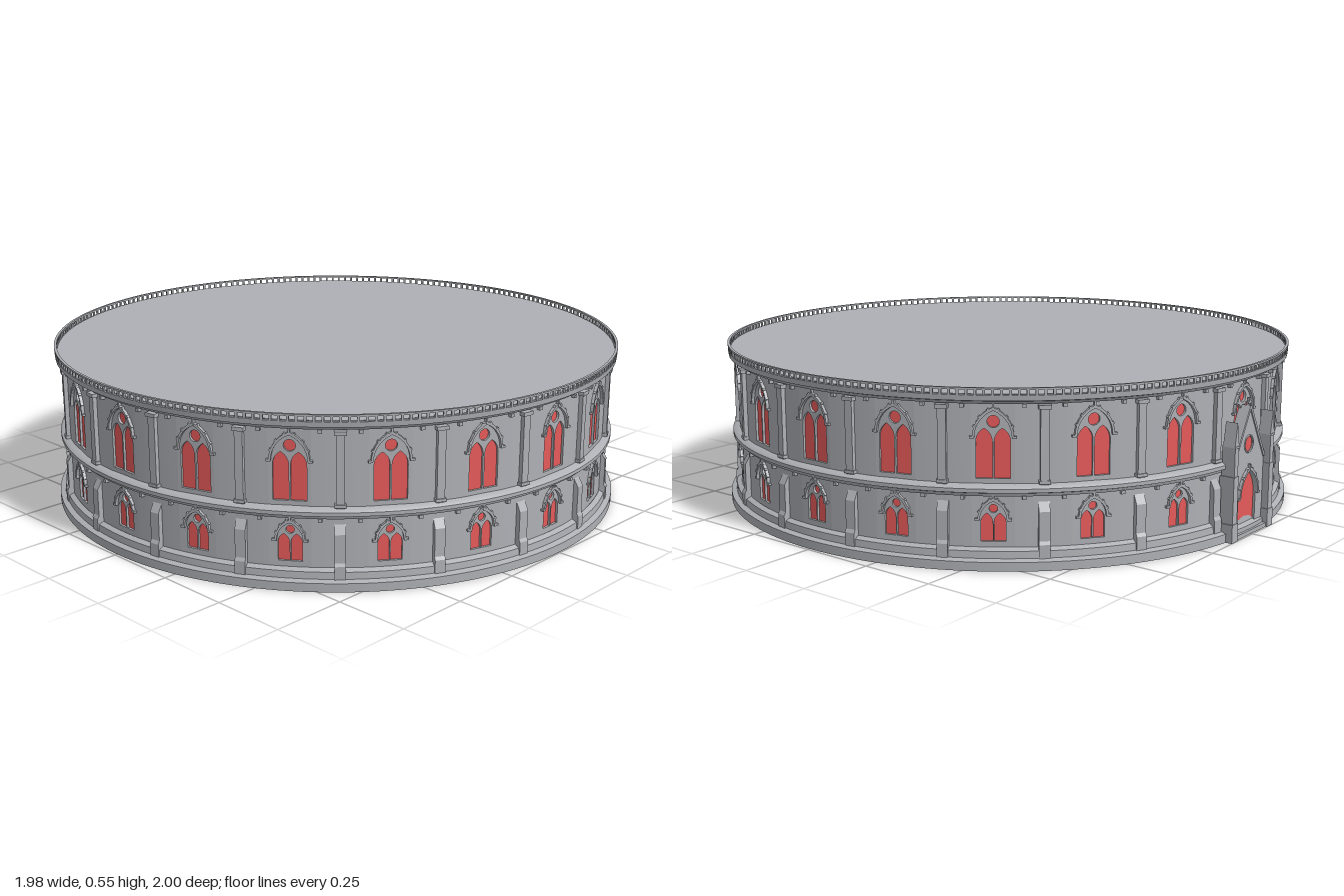
import * as THREE from 'three';
import { toCreasedNormals, mergeGeometries } from 'three/addons/utils/BufferGeometryUtils.js';

const BAYS = 20, STEP = (Math.PI * 2) / BAYS;
const WALL = 0.955, INNER = 0.937, PANEL = 0.064; // wall radii, half width of a window panel

const mat = (name, color) => {
  const m = new THREE.MeshStandardMaterial({ color, side: THREE.DoubleSide });
  m.name = name;
  return m;
};
const stone = mat('stone', 0xaeb0b5);
const glass = mat('redGlass', 0xe65a5a);

function add(parent, name, geometry, material = stone) {
  const m = new THREE.Mesh(geometry, material);
  m.name = name;
  parent.add(m);
  return m;
}
const box = (w, h, d, x, y, z, roll = 0) =>
  new THREE.BoxGeometry(w, h, d).rotateZ(roll).translate(x, y, z);
const merge = (list) => mergeGeometries(list.map((g) => (g.index ? g.toNonIndexed() : g)));
const vectors = (list) => list.map(([x, y]) => new THREE.Vector2(x, y));

// Closed ring from an [r, y] profile listed counter-clockwise
function ring(profile, segments = 160, start = 0, length = Math.PI * 2) {
  const pts = vectors([...profile, profile[0]]);
  return toCreasedNormals(new THREE.LatheGeometry(pts, segments, start, length), 0.5);
}

// Pointed arch curve, from the right springing over the apex to the left
function arch(hw, spring, rise, cx = 0, n = 7) {
  const c = (rise * rise - hw * hw) / (2 * hw), r = hw + c, end = Math.atan2(rise, c);
  const right = [];
  for (let i = 0; i <= n; i++) {
    const a = (end * i) / n;
    right.push([r * Math.cos(a) - c, spring + r * Math.sin(a)]);
  }
  const left = right.slice(0, -1).reverse().map(([x, y]) => [-x, y]);
  return vectors([...right, ...left].map(([x, y]) => [x + cx, y]));
}
const opening = (hw, y0, spring, rise, cx = 0) =>
  [new THREE.Vector2(cx - hw, y0), new THREE.Vector2(cx + hw, y0), ...arch(hw, spring, rise, cx)];
const circle = (r, y) => new THREE.Path().absarc(0, y, r, 0, Math.PI * 2).getPoints(8);

function plate(points, holes, depth, z) {
  const s = new THREE.Shape(points);
  s.holes = holes.map((h) => new THREE.Path(h));
  return new THREE.ExtrudeGeometry(s, { depth, bevelEnabled: false }).translate(0, 0, z);
}

const UPPER = { hw: 0.055, y0: 0.272, spring: 0.4, rise: 0.08 };
const LOWER = { hw: 0.04, y0: 0.079, spring: 0.15, rise: 0.056 };
const DOOR = { hw: 0.055, y0: 0.025, spring: 0.125, rise: 0.085 };
const hole = (o) => opening(o.hw, o.y0, o.spring, o.rise);

// Red pane and hood mould with label stops and crockets; z is the face it sits in
function buildOpening(parent, name, o, z) {
  const { hw, spring, rise } = o;
  const g = new THREE.Group();
  g.name = name;
  parent.add(g);
  add(g, 'pane', plate(hole(o), [], 0.004, z - 0.012), glass);

  const outer = arch(hw + 0.007, spring, rise + 0.01);
  const parts = [
    plate([...outer, ...arch(hw, spring, rise).reverse()], [], 0.014, z - 0.004),
    box(0.006, 0.018, 0.01, 0, spring + rise + 0.011, z + 0.006),
  ];
  for (const s of [-1, 1]) {
    parts.push(box(0.014, 0.007, 0.014, s * (hw + 0.008), spring, z + 0.003));
    for (const i of [2, 4, 6]) {
      const p = outer[i];
      parts.push(box(0.007, 0.007, 0.009, s * p.x, p.y, z + 0.006, s * 0.6));
    }
  }
  add(g, 'hoodMould', merge(parts));
  return g;
}

// Opening filled with two lights below a round eye
function buildWindow(parent, name, o, z) {
  const { hw, y0, spring, rise } = o;
  const g = buildOpening(parent, name, o, z);
  const lights = [-1, 1].map((s) =>
    opening(hw * 0.44, y0 + 0.002, spring - rise * 0.2, rise * 0.52, s * hw * 0.49));
  const eye = circle(rise * 0.23, spring + rise * 0.57);
  add(g, 'tracery', plate(hole(o), [...lights, eye], 0.008, z - 0.008));
}

// Window panel plus the curved wall reaching to the next bay
function buildWall(parent, holes) {
  const a = Math.asin(PANEL / WALL), z = WALL * Math.cos(a);
  const p = vectors([[-PANEL, 0.02], [PANEL, 0.02], [PANEL, 0.52], [-PANEL, 0.52]]);
  add(parent, 'windowPanel', plate(p, holes, z - INNER, INNER));
  const side = ring([[INNER, 0.02], [WALL, 0.02], [WALL, 0.52], [INNER, 0.52]], 6, a, STEP - 2 * a);
  add(parent, 'curvedWall', side);
  return z;
}

// Pier between bays: sloped buttress below, shaft and cap above
function buildPier(parent) {
  const pier = new THREE.Group();
  pier.name = 'pier';
  pier.rotation.y = STEP / 2;
  parent.add(pier);
  const profile = [[0, 0.03], [0.026, 0.03], [0.026, 0.075], [0.02, 0.085], [0.02, 0.175], [0, 0.21]];
  const butt = plate(vectors(profile), [], 0.034, 0);
  butt.rotateY(-Math.PI / 2).translate(0.017, 0, WALL - 0.004);
  add(pier, 'buttress', butt);
  add(pier, 'shaft', box(0.026, 0.235, 0.02, 0, 0.375, WALL + 0.004));
  add(pier, 'capAndBase', merge([
    box(0.038, 0.012, 0.026, 0, 0.491, WALL + 0.006),
    box(0.034, 0.01, 0.025, 0, 0.265, WALL + 0.005),
  ]));
}

// Gabled doorway between two buttresses with gabled tops
function buildPortal(parent) {
  const g = new THREE.Group();
  g.name = 'portal';
  parent.add(g);
  const z = 0.98, foot = 0.235, apex = 0.415, w = 0.1;
  const outline = vectors([[-w, 0], [w, 0], [w, foot], [0, apex], [-w, foot]]);
  add(g, 'gableWall', plate(outline, [hole(DOOR), circle(0.026, 0.295)], z - 0.945, 0.945));
  buildOpening(g, 'door', DOOR, z);
  add(g, 'roseGlass', new THREE.CircleGeometry(0.028, 16).translate(0, 0.295, z - 0.004), glass);

  const mouldings = [new THREE.TorusGeometry(0.027, 0.003, 6, 20).translate(0, 0.295, z),
    box(0.008, 0.035, 0.01, 0, apex + 0.012, z - 0.006), box(0.022, 0.006, 0.01, 0, apex + 0.016, z - 0.006)];
  const len = Math.hypot(w, apex - foot), tilt = Math.atan2(apex - foot, w);
  const masonry = [box(0.2, 0.014, 0.03, 0, 0.007, 0.985)];
  for (const s of [-1, 1]) {
    const x = s * 0.115;
    mouldings.push(box(len, 0.009, 0.04, s * w / 2, (foot + apex) / 2 + 0.003, z - 0.016, -s * tilt));
    mouldings.push(box(0.03, 0.007, 0.05, x, 0.21, 0.979), box(0.026, 0.007, 0.046, x, 0.308, 0.981));
    masonry.push(box(0.036, 0.06, 0.06, x, 0.03, 0.975));
    masonry.push(box(0.028, 0.15, 0.052, x, 0.135, 0.977));
    masonry.push(box(0.022, 0.1, 0.046, x, 0.26, 0.979));
    const top = vectors([[x - 0.014, 0.308], [x + 0.014, 0.308], [x, 0.386]]);
    masonry.push(plate(top, [], 0.042, 0.96));
  }
  add(g, 'buttresses', merge(masonry));
  add(g, 'gableMouldings', merge(mouldings));
}

export function createModel() {
  const model = new THREE.Group();
  model.name = 'roundGothicBuilding';
  const body = new THREE.Group();
  body.name = 'rotunda';
  body.position.z = 0.005;
  model.add(body);

  // Hollow stepped plinth, string course, cornice and parapet rail
  add(body, 'plinth', ring([[0.986, 0], [0.992, 0], [0.992, 0.028], [0.974, 0.034], [0.972, 0.056],
    [0.956, 0.064], [0.95, 0.058], [0.966, 0.05], [0.968, 0.028], [0.986, 0.024]]));
  add(body, 'stringCourse', ring([[0.95, 0.222], [0.962, 0.222], [0.966, 0.232], [0.978, 0.236],
    [0.978, 0.248], [0.968, 0.256], [0.95, 0.26]]));
  add(body, 'innerBand', ring([[0.933, 0.237], [0.94, 0.237], [0.94, 0.246], [0.933, 0.246]]));
  add(body, 'cornice', ring([[0.945, 0.5], [0.962, 0.5], [0.968, 0.509], [0.982, 0.513],
    [0.984, 0.53], [0.945, 0.53]]));
  add(body, 'parapetRail', ring([[0.976, 0.546], [0.985, 0.546], [0.985, 0.552], [0.976, 0.552]]));
  add(body, 'roof', new THREE.CylinderGeometry(0.975, 0.975, 0.008, 160).translate(0, 0.528, 0));

  const balusters = [];
  for (let i = 0; i < 240; i++)
    balusters.push(box(0.008, 0.018, 0.006, 0, 0.538, 0.98).rotateY((i * Math.PI * 2) / 240));
  add(body, 'balusters', merge(balusters));

  // Twenty bays; the one at the rear holds the portal
  for (let i = 0; i < BAYS; i++) {
    const bay = new THREE.Group(), rear = i === BAYS / 2;
    bay.name = rear ? 'portalBay' : 'windowBay';
    bay.rotation.y = i * STEP;
    body.add(bay);
    const z = buildWall(bay, [hole(UPPER), hole(rear ? DOOR : LOWER)]);
    buildWindow(bay, 'upperWindow', UPPER, z);
    if (rear) buildPortal(bay);
    else buildWindow(bay, 'lowerWindow', LOWER, z);
    buildPier(bay);
    // Small corbels under both mouldings
    const studs = [];
    for (const a of [-0.095, 0.095]) for (const y of [0.218, 0.495])
      studs.push(box(0.012, 0.011, 0.018, 0, y, WALL + 0.004).rotateY(a));
    add(bay, 'corbels', merge(studs));
  }
  return model;
}
